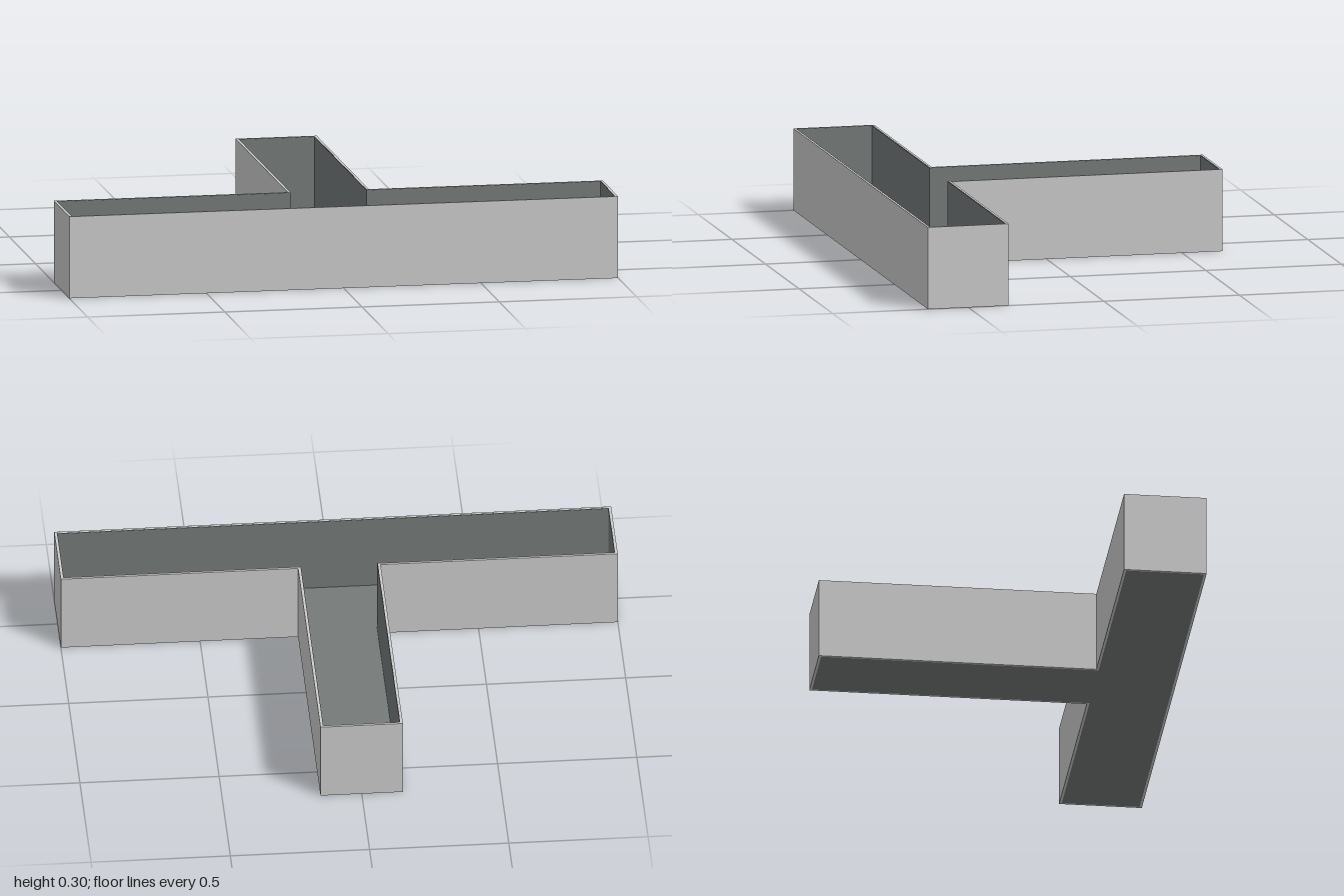
import * as THREE from 'three';

const HEIGHT = 0.298, WALL = 0.009, LINING = 0.002, FLOOR = 0.01;

// Corners of the T-shaped plan, inset by d (shape y is -z)
function outline(d) {
  const stem = 0.148 - d, end = 1 - d;
  const front = -0.649 + d, barBack = -0.351 - d, stemBack = 0.649 - d;
  return [
    [-end, front], [end, front], [end, barBack], [stem, barBack],
    [stem, stemBack], [-stem, stemBack], [-stem, barBack], [-end, barBack],
  ].map(([x, y]) => new THREE.Vector2(x, y));
}

// Extrude the plan upwards, optionally hollowed by a smaller plan
function prism(outer, inner, bottom, top) {
  const shape = new THREE.Shape(outline(outer));
  if (inner !== null) shape.holes.push(new THREE.Path(outline(inner).reverse()));
  const geometry = new THREE.ExtrudeGeometry(shape, { depth: top - bottom, bevelEnabled: false });
  return geometry.rotateX(-Math.PI / 2).translate(0, bottom, 0);
}

export function createModel() {
  const group = new THREE.Group();
  group.name = 'tShapedTrough';

  const lightGrey = new THREE.MeshStandardMaterial({ color: 0xcccccc });
  lightGrey.name = 'light grey';
  const darkGrey = new THREE.MeshStandardMaterial({ color: 0x757a79 });
  darkGrey.name = 'dark grey';

  const add = (name, geometry, material) => {
    const mesh = new THREE.Mesh(geometry, material);
    mesh.name = name;
    group.add(mesh);
  };

  // Pale outer walls, open at the top
  add('outerWalls', prism(0, WALL, 0, HEIGHT), lightGrey);
  // Dark lining on the inside of the walls
  add('innerLining', prism(WALL, WALL + LINING, FLOOR, HEIGHT - 0.001), darkGrey);
  // Dark base slab, seen from inside and underneath
  add('floor', prism(WALL, null, 0, FLOOR), darkGrey);

  return group;
}
